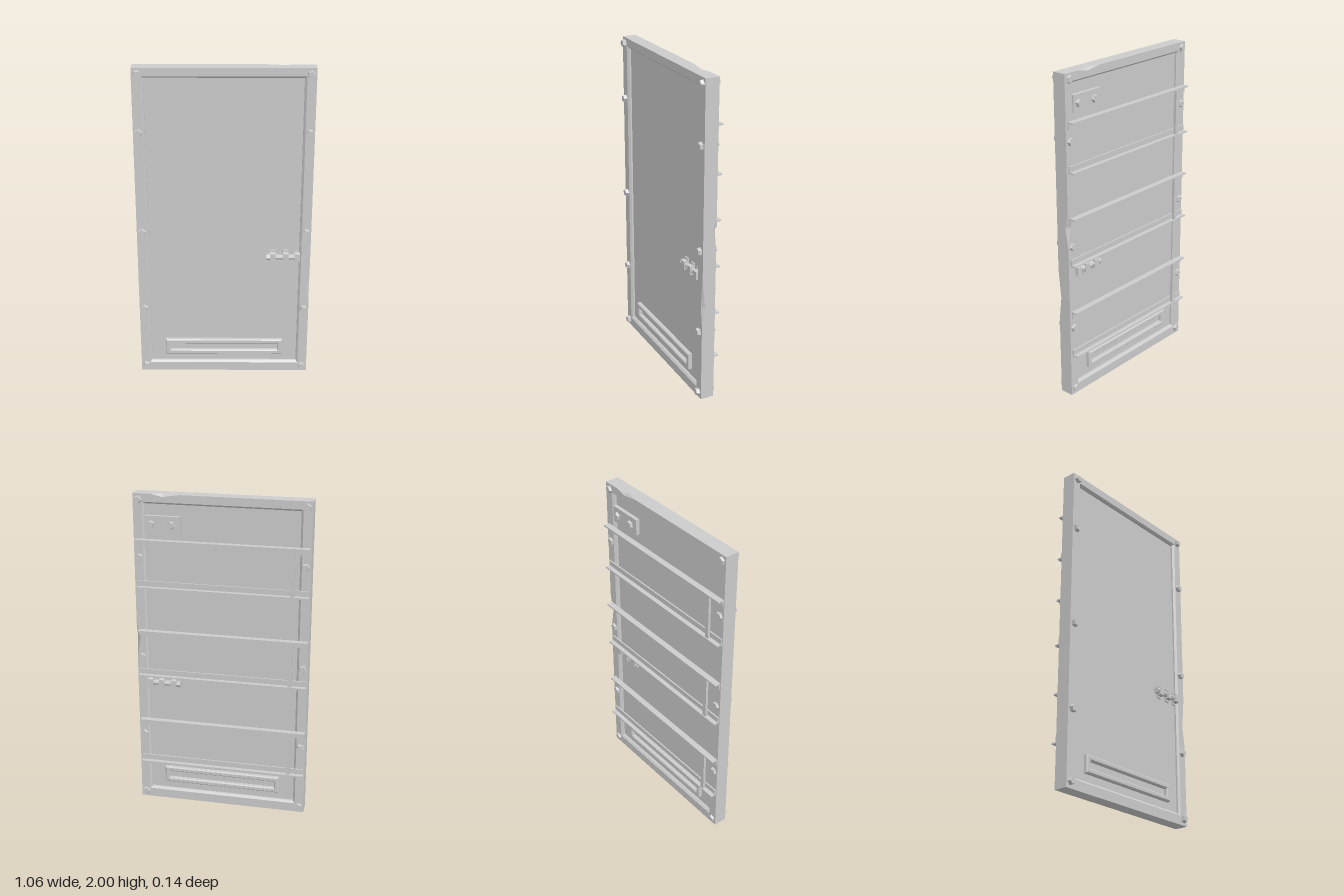
import * as THREE from 'three';

const ZF = 0.05, ZB = -0.035;            // frame front and back
const PF = 0.027, PB = -0.012;           // panel front and back
const mat = new THREE.MeshStandardMaterial({ color: 0xcccccc, flatShading: true, side: THREE.DoubleSide });

function add(parent, name, geo, x = 0, y = 0, z = 0) {
  const m = new THREE.Mesh(geo, mat);
  m.name = name;
  m.position.set(x, y, z);
  parent.add(m);
  return m;
}
// Box given by its limits
function block(parent, name, x0, x1, y0, y1, z0, z1) {
  return add(parent, name, new THREE.BoxGeometry(x1 - x0, y1 - y0, z1 - z0),
    (x0 + x1) / 2, (y0 + y1) / 2, (z0 + z1) / 2);
}
function rectPath(path, w, y0, y1) {
  path.moveTo(-w, y0); path.lineTo(w, y0); path.lineTo(w, y1); path.lineTo(-w, y1); path.closePath();
  return path;
}

// Door frame: a bevelled cross-section swept round the opening, with chipped edges
function frameGeometry() {
  const X = 0.53, x = 0.462, Y0 = 0, Y1 = 2, y0 = 0.07, y1 = 1.94;
  const right = (y, front = 0, back = 0) => ({ o: [X, y], i: [x, y], front, back });
  const top = (u, back = 0) => ({ o: [u, Y1], i: [u, y1], front: 0, back });
  const corner = (sx, o, i) => ({ o: [sx * X, o], i: [sx * x, i], front: 0, back: 0 });
  const stations = [
    corner(1, Y0, y0),
    right(0.5), right(0.63, 0.018), right(0.82),
    right(0.97), right(1.1, 0, 0.022), right(1.2),
    corner(1, Y1, y1),
    top(0.42), top(0.35, 0.018), top(0.25),
    corner(-1, Y1, y1), corner(-1, Y0, y0),
  ];
  const rings = stations.map(s => [
    [s.front / 0.068, ZF], [0, ZF - s.front], [0, ZB + s.back], [s.back / 0.068, ZB],
    [0.82, ZB], [1, ZB + 0.012], [1, ZF - 0.012], [0.82, ZF],
  ].map(([t, z]) => [
    s.o[0] + (s.i[0] - s.o[0]) * t, s.o[1] + (s.i[1] - s.o[1]) * t, z,
  ]));
  const pos = [];
  rings.forEach((a, k) => {
    const b = rings[(k + 1) % rings.length];
    a.forEach((p, j) => {
      const n = (j + 1) % a.length;
      pos.push(...p, ...a[n], ...b[j], ...a[n], ...b[n], ...b[j]);
    });
  });
  const g = new THREE.BufferGeometry();
  g.setAttribute('position', new THREE.Float32BufferAttribute(pos, 3));
  g.computeVertexNormals();
  return g;
}

// Five-sided tapered bolt head standing on a face at depth z, pointing along dir
function bolt(parent, name, x, y, z, dir, h, r = 0.025) {
  const g = new THREE.CylinderGeometry(r * 0.82, r, h, 5);
  g.rotateX(dir * Math.PI / 2);
  g.rotateZ(x * 3 + y * 2);
  return add(parent, name, g, x, y, z + dir * h / 2);
}

// Sliding latch: rod, end knob and three staples
function latch(name, z, dir) {
  const g = new THREE.Group();
  g.name = name;
  const rod = new THREE.CylinderGeometry(0.017, 0.017, 0.2, 8).rotateZ(Math.PI / 2);
  add(g, 'latchRod', rod, 0.365, 0.81, 0.014);
  const knob = new THREE.CylinderGeometry(0.02, 0.02, 0.022, 6).rotateZ(Math.PI / 2);
  add(g, 'latchKnob', knob, 0.272, 0.81, 0.014);
  for (const x of [0.3, 0.378, 0.45]) {
    const s = new THREE.Shape();         // hat profile in depth and height
    [[0, -0.042], [0.01, -0.042], [0.01, -0.03], [0.033, -0.024],
      [0.033, 0.024], [0.01, 0.03], [0.01, 0.042], [0, 0.042]]
      .forEach(([a, b], k) => (k ? s.lineTo(a, b) : s.moveTo(a, b)));
    const geo = new THREE.ExtrudeGeometry(s, { depth: 0.034, bevelEnabled: false });
    geo.translate(0, 0, -0.017).rotateY(-Math.PI / 2);
    add(g, 'latchStaple', geo, x, 0.81, 0);
  }
  g.position.z = z;
  g.scale.z = dir;
  return g;
}

// Angle rail: a flat flange on the door and a ledge; up = 1 puts the ledge on top
function rail(parent, edge, up) {
  const s = new THREE.Shape();
  const t = 0.009, d = 0.037, h = 0.042;
  s.moveTo(0, 0); s.lineTo(d, 0); s.lineTo(d, -up * t); s.lineTo(t, -up * t);
  s.lineTo(t, -up * h); s.lineTo(0, -up * h); s.closePath();
  const geo = new THREE.ExtrudeGeometry(s, { depth: 1.04, bevelEnabled: false });
  geo.rotateY(Math.PI / 2);              // length along x
  geo.rotateY(Math.PI);                  // ledge towards the back
  // shape x now points along +z, so turn the profile to the back
  geo.computeBoundingBox();
  if (geo.boundingBox.max.z > 0.01) geo.rotateY(Math.PI);
  geo.computeBoundingBox();
  const cx = (geo.boundingBox.min.x + geo.boundingBox.max.x) / 2;
  add(parent, 'angleRail', geo, -0.005 - cx, edge, ZB);
}

export function createModel() {
  const door = new THREE.Group();
  door.name = 'door';

  add(door, 'frame', frameGeometry());
  block(door, 'panel', -0.465, 0.465, 0.065, 1.945, PB, PF);

  // Frame bolts on both faces
  const bolts = new THREE.Group();
  bolts.name = 'frameBolts';
  door.add(bolts);
  for (const sx of [-1, 1]) {
    for (const y of [0.04, 0.455, 0.98, 1.615, 1.965]) {
      bolt(bolts, 'frontBolt', sx * 0.498, y, ZF, 1, 0.021);
      bolt(bolts, 'backBolt', sx * 0.498, y, ZB, -1, 0.014);
    }
  }

  // Slot surround near the bottom, showing on both faces
  const slot = rectPath(new THREE.Shape(), 0.364, 0.126, 0.22);
  slot.holes.push(rectPath(new THREE.Path(), 0.346, 0.144, 0.202));
  const slotGeo = new THREE.ExtrudeGeometry(slot, {
    depth: 0.078, bevelThickness: 0.006, bevelSize: 0.006, bevelSegments: 1,
  });
  add(door, 'slotSurround', slotGeo, 0, 0, -0.031);

  door.add(latch('frontLatch', PF, 1), latch('backLatch', PB, -1));

  // Bolted plate at the top of the back
  const plate = new THREE.Group();
  plate.name = 'backPlate';
  door.add(plate);
  block(plate, 'plate', 0.245, 0.465, 1.77, 1.87, ZB, PB);
  for (const x of [0.3, 0.425]) bolt(plate, 'plateBolt', x, 1.82, ZB, -1, 0.016);

  // Three brackets on the back: a pair of angle rails joined by an upright
  for (const y of [1.58, 1.01, 0.415]) {
    const bracket = new THREE.Group();
    bracket.name = 'barBracket';
    door.add(bracket);
    rail(bracket, y + 0.15, 1);
    rail(bracket, y - 0.15, -1);
    block(bracket, 'upright', -0.44, -0.415, y - 0.141, y + 0.141, -0.066, -0.05);
  }
  return door;
}
